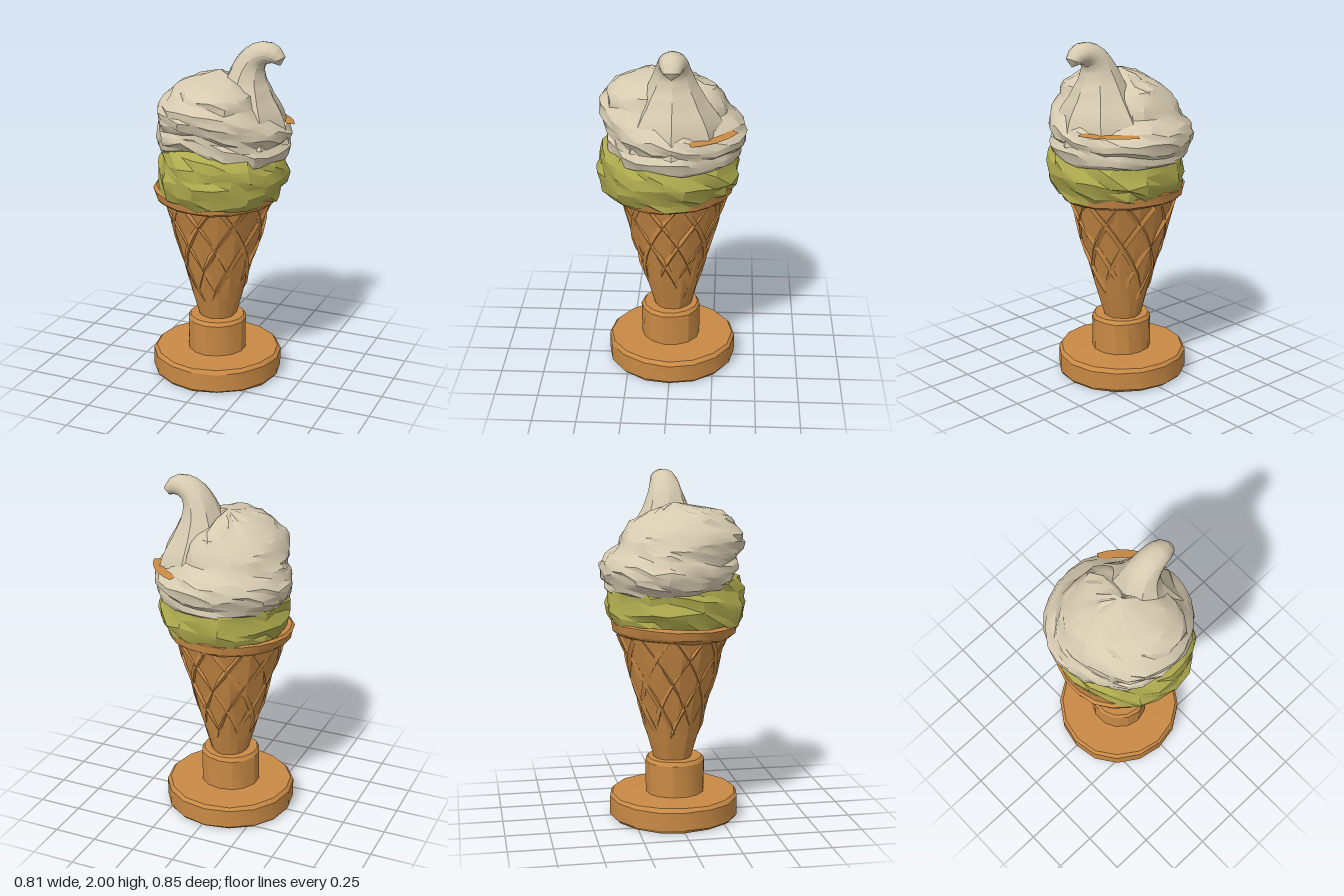
import * as THREE from 'three';
import { toCreasedNormals } from 'three/addons/utils/BufferGeometryUtils.js';

const material = (name, color) => {
  const m = new THREE.MeshStandardMaterial({ color });
  m.name = name;
  return m;
};

// repeatable noise in -1..1 for a pair of indices
const noise = (i, j, seed) => {
  const s = Math.sin(i * 127.1 + j * 311.7 + seed * 74.7) * 43758.5453;
  return (s - Math.floor(s)) * 2 - 1;
};

const bell = x => Math.exp(-x * x);
const smooth = THREE.MathUtils.smoothstep;

// revolved form whose vertices are roughened and pushed by a rule
function lump(profile, { rings = 0, segs = 18, jitter = 0, seed = 1, rule = null, crease = 0.45 }) {
  let pts = profile.map(([r, y]) => new THREE.Vector2(r, y));
  if (rings) pts = new THREE.SplineCurve(pts).getPoints(rings).map(p => p.setX(Math.max(p.x, 0)));
  const geo = new THREE.LatheGeometry(pts, segs);
  const pos = geo.attributes.position;
  const n = pts.length;
  for (let k = 0; k < pos.count; k++) {
    const i = Math.floor(k / n) % segs, j = k % n;
    let angle = (i / segs) * Math.PI * 2;
    if (angle > Math.PI) angle -= Math.PI * 2;
    let r = pts[j].x, y = pts[j].y;
    const soft = Math.min(1, r * 5);
    const turn = angle + noise(i, j, seed + 2) * jitter * 2;
    if (rule) {
      const [dr, dy] = rule(angle, y);
      r += dr * soft;
      y += dy * soft;
    }
    r += noise(i, j, seed) * jitter * soft;
    y += noise(i, j, seed + 1) * jitter * soft;
    pos.setXYZ(k, r * Math.sin(turn), y, r * Math.cos(turn));
  }
  return toCreasedNormals(geo, crease);
}

export function createModel() {
  const group = new THREE.Group();
  const wafer = material('wafer', 0xc98a45);
  const green = material('pistachio', 0xaeaa4e);
  const cream = material('cream', 0xd6cab0);

  const add = (name, geo, mat, x = 0, z = 0, parent = group) => {
    const mesh = new THREE.Mesh(geo, mat);
    mesh.name = name;
    mesh.position.set(x, 0, z);
    parent.add(mesh);
  };
  const axis = -0.025;

  // stand: round foot and collar
  add('foot', lump([[0, 0.005], [0.365, 0.005], [0.377, 0.02], [0.377, 0.125], [0.36, 0.146], [0, 0.15]],
    { segs: 16, jitter: 0.003, seed: 3 }), wafer, axis);
  add('collar', lump([[0, 0.1], [0.172, 0.1], [0.174, 0.335], [0.16, 0.356], [0, 0.356]],
    { segs: 14, jitter: 0.003, seed: 5 }), wafer, axis, 0.005);

  // cone body with low crossing waffle ribs
  const coneRadius = y => 0.108 + (y - 0.35) * 0.277;
  const cone = new THREE.Group();
  cone.name = 'cone';
  cone.position.set(axis, 0, -0.006);
  group.add(cone);
  add('coneBody', lump([0.35, 0.48, 0.6, 0.72, 0.85, 0.98, 1.1].map(y => [coneRadius(y), y]),
    { segs: 16, jitter: 0.006, seed: 8, crease: 0.3 }), wafer, 0, 0, cone);
  const ribCount = 9;
  for (const hand of [-1, 1]) {
    for (let i = 0; i < ribCount; i++) {
      const path = [];
      const low = 0.52 + 0.08 * noise(i, hand, 4);
      for (let s = 0; s <= 6; s++) {
        const y = low + (1.09 - low) * s / 6;
        const a = (i / ribCount) * Math.PI * 2 + hand * (y - 0.4) * 2.4;
        const sunk = s === 0 ? 0.02 : 0.01;
        const r = coneRadius(y) - sunk + 0.006 * noise(i, s, hand);
        path.push(new THREE.Vector3(r * Math.sin(a), y, r * Math.cos(a)));
      }
      const rib = new THREE.TubeGeometry(new THREE.CatmullRomCurve3(path), 7, 0.019, 4);
      add('waffleRib', toCreasedNormals(rib, 0.3), wafer, 0, 0, cone);
    }
  }

  // rolled rim
  add('coneRim', lump([[0.29, 1.07], [0.335, 1.085], [0.352, 1.1], [0.364, 1.15], [0.348, 1.162], [0.29, 1.13]],
    { segs: 22, jitter: 0.004, seed: 12, rule: a => [0, -0.012 * Math.cos(a)] }), wafer, axis);

  // lower scoop, deeper front to back, drooping at front left and set in at front right
  add('lowerScoop', lump([[0, 1.09], [0.28, 1.1], [0.34, 1.14], [0.37, 1.2], [0.377, 1.27], [0.362, 1.34],
    [0.33, 1.41], [0.2, 1.46], [0, 1.47]], {
    rings: 11, segs: 24, jitter: 0.017, seed: 21, crease: 0.4,
    rule: (a, y) => {
      const droop = bell((a - 0.7) / 0.5) * Math.max(0, (1.25 - y) / 0.15);
      return [0.015 * droop + 0.025 * Math.cos(a) ** 2 - 0.03 * bell((a + 1.15) / 0.4), -0.02 * droop];
    },
  }), green, 0.005, 0.015);

  // swirled upper scoop: a helical groove winds down, the low roll sits back and the crown forward
  add('upperScoop', lump([[0, 1.35], [0.28, 1.325], [0.37, 1.345], [0.4, 1.4], [0.404, 1.47], [0.395, 1.53],
    [0.372, 1.6], [0.345, 1.67], [0.285, 1.735], [0.17, 1.79], [0, 1.83]], {
    rings: 22, segs: 28, jitter: 0.01, seed: 33,
    rule: (a, y) => {
      const k = (y - 1.33) / 0.2 + a / (Math.PI * 2) + 4.2;
      const f = (k - Math.floor(k)) * 2 - 1;
      const groove = 1 - Math.sqrt(1 - Math.min(1, f * f));
      const lift = bell((a + 0.15) / 0.5) * Math.max(0, (1.6 - y) / 0.26);
      const shift = THREE.MathUtils.lerp(-0.025, 0.055, smooth(y, 1.45, 1.7));
      const high = smooth(y, 1.54, 1.7);
      const side = Math.sin(a) ** 2 * 0.035 * high;
      const hollow = 0.09 * bell((a - Math.PI / 2) / 0.65) * smooth(y, 1.51, 1.66);
      // shelf that carries the wafer sliver, and a set-in front right side
      const shelf = 0.05 * bell((a - 2.3) / 0.5) * smooth(y, 1.48, 1.53);
      const inset = 0.035 * bell((a + 1.15) / 0.4) * (1 - high);
      return [shift * Math.cos(a) - side - hollow - shelf - inset - 0.035 * groove - 0.02 * lift, 0.09 * lift];
    },
  }), cream, -0.003, 0.005);

  // curled peak: fluted sweep that thins and hooks over
  const stops = [
    [0.13, 1.46, 0.25], [0.14, 1.58, 0.215], [0.142, 1.69, 0.155], [0.147, 1.79, 0.11], [0.168, 1.87, 0.084],
    [0.212, 1.923, 0.07], [0.275, 1.94, 0.06], [0.325, 1.915, 0.047], [0.342, 1.875, 0.02],
  ];
  const spine = new THREE.CatmullRomCurve3(stops.map(([x, y]) => new THREE.Vector3(x, y, -0.015)));
  const steps = 20, sides = 16;
  const peak = new THREE.TubeGeometry(spine, steps, 1, sides);
  const pos = peak.attributes.position;
  const v = new THREE.Vector3();
  for (let k = 0; k < pos.count; k++) {
    const ring = Math.floor(k / (sides + 1)), side = k % (sides + 1);
    const t = ring / steps;
    const centre = spine.getPointAt(t);
    const u = spine.getUtoTmapping(t) * (stops.length - 1);
    const i = Math.min(stops.length - 2, Math.floor(u));
    let r = THREE.MathUtils.lerp(stops[i][2], stops[i + 1][2], u - i);
    if (ring === steps) r = 0.001;
    r *= 1 + 0.09 * Math.max(0, 1 - t * 1.3) * (side % 2 ? -1 : 1);
    v.fromBufferAttribute(pos, k).sub(centre).multiplyScalar(r);
    pos.setXYZ(k, centre.x + v.x, centre.y + v.y, centre.z + v.z * 1.18);
  }
  add('curledPeak', toCreasedNormals(peak, 0.5), cream);

  // thin wafer sliver lying flat on the shelf at the back left
  const sliver = new THREE.LatheGeometry(
    [[0.412, 1.522], [0.36, 1.53]].map(([r, y]) => new THREE.Vector2(r, y)), 6, 1.87, 0.85);
  add('waferSliver', toCreasedNormals(sliver, 0.4), wafer);

  return group;
}
